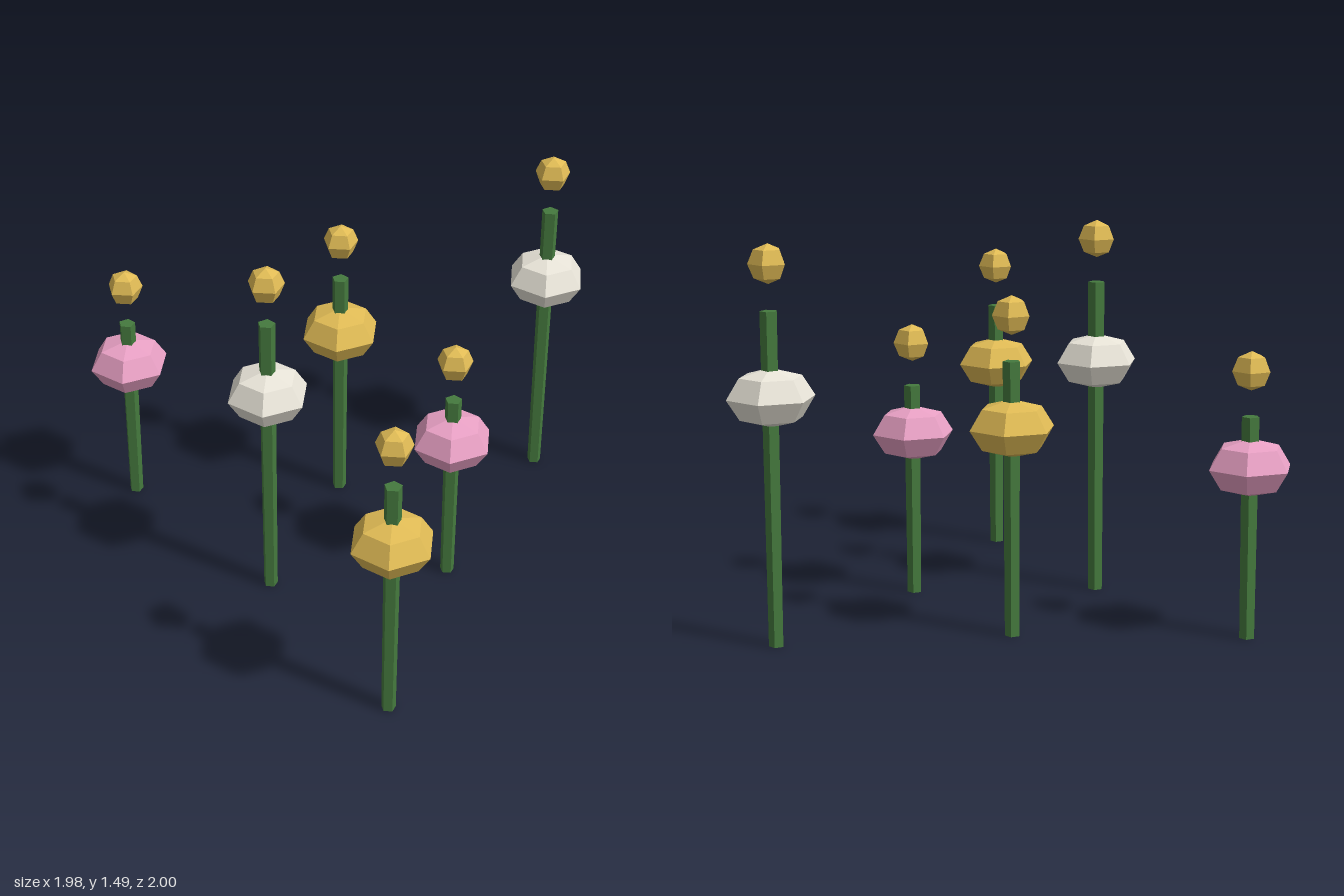
import * as THREE from 'three';

const paint = (color) => new THREE.MeshStandardMaterial({ color, flatShading: true });

// Faceted ball with one corner pointing to the back
function ball(radius, sides, squash = 1) {
  const g = new THREE.SphereGeometry(radius, sides, 4);
  g.rotateY(-Math.PI / 2);
  g.scale(1, squash, 1);
  return g;
}

export function createModel() {
  const model = new THREE.Group();
  model.name = 'flowerPatch';

  const green = paint(0x457a3e);
  const gold = paint(0xe0bb55);
  const kinds = {
    pink: { stem: 0.84, bloom: 0.65, heart: 1.01, petals: paint(0xe8a0c4) },
    yellow: { stem: 1.04, bloom: 0.79, heart: 1.21, petals: gold },
    white: { stem: 1.245, bloom: 0.93, heart: 1.415, petals: paint(0xe8e4d8) },
  };
  const bloomGeometry = ball(0.165, 6, 0.66);
  const heartGeometry = ball(0.073, 5);

  function flower(kind, x, z) {
    const k = kinds[kind];
    const group = new THREE.Group();
    group.name = kind + 'Flower';
    group.position.set(x, 0, z);
    const add = (name, geometry, material, y) => {
      const mesh = new THREE.Mesh(geometry, material);
      mesh.name = name;
      mesh.position.y = y;
      group.add(mesh);
    };
    // Five-sided stem, slightly thinner at the foot
    const stem = new THREE.CylinderGeometry(0.034, 0.029, k.stem, 5);
    stem.rotateY(Math.PI);
    add('stem', stem, green, k.stem / 2);
    // Squashed blossom around the stem, and the ball floating above it
    add('blossom', bloomGeometry, k.petals, k.bloom);
    add('flowerCentre', heartGeometry, gold, k.heart);
    model.add(group);
  }

  flower('pink', -0.852, -0.45);
  flower('white', -0.2, 0.134);
  flower('yellow', 0.015, -0.56);
  flower('yellow', 0.332, 0.832);
  flower('pink', 0.508, -0.026);
  flower('white', 0.847, -0.835);
  return model;
}
